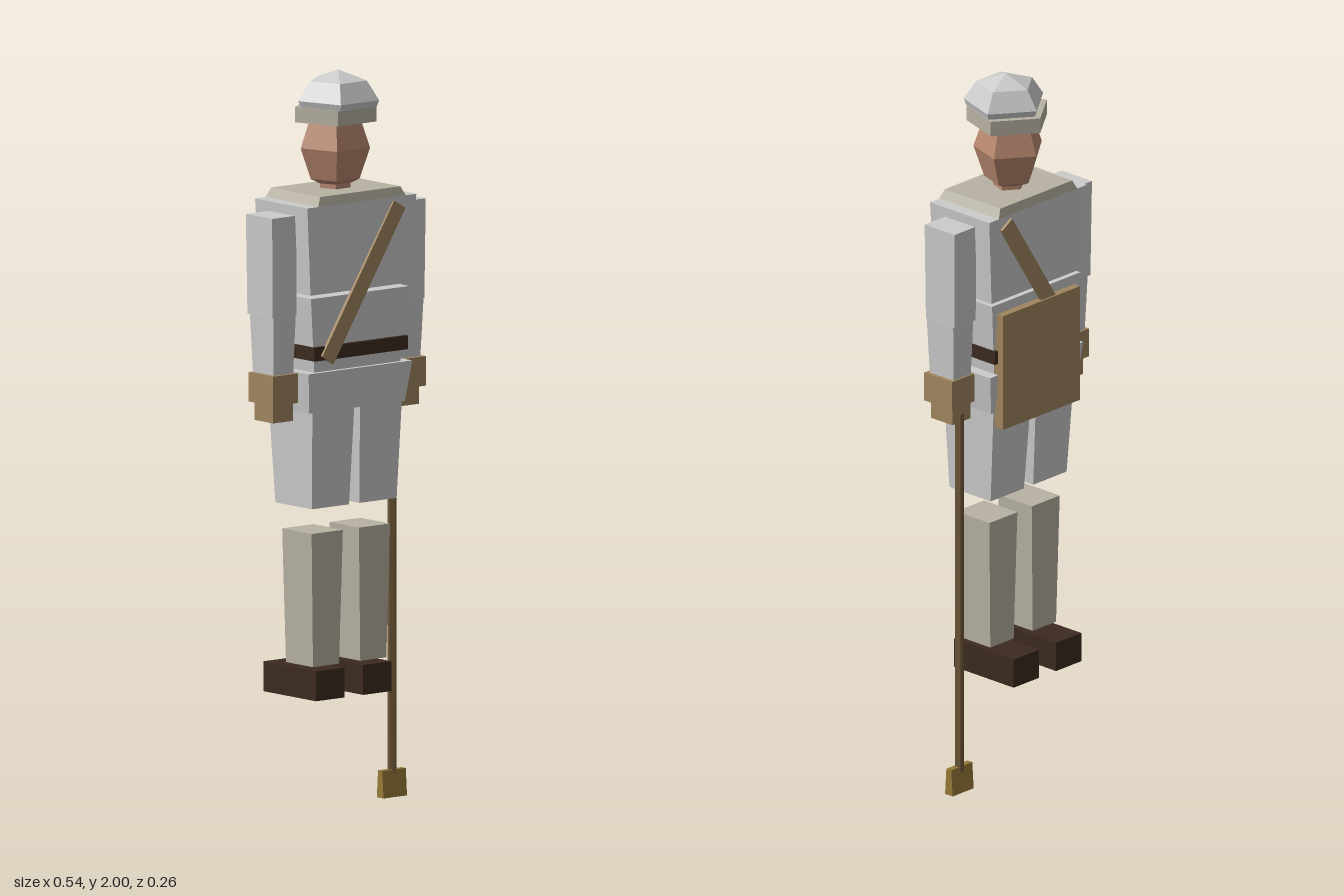
import * as THREE from 'three';

const mat = (color) => new THREE.MeshStandardMaterial({ color, flatShading: true });
const cloth = mat(0xcccccc), canvas = mat(0xb7b2a2), leather = mat(0xa1865f),
  dark = mat(0x3c2a20), skin = mat(0xb98870), wood = mat(0x70593a), brass = mat(0x977a36);

export function createModel() {
  const model = new THREE.Group();

  const add = (name, geometry, material) => {
    const mesh = new THREE.Mesh(geometry, material);
    mesh.name = name;
    model.add(mesh);
    return mesh;
  };

  // Box tapering between two rectangles [x0, x1, z0, z1] at heights y0 and y1
  const block = (name, material, y0, y1, bottom, top = bottom) => {
    const g = new THREE.BoxGeometry(1, 1, 1);
    const p = g.attributes.position;
    for (let i = 0; i < p.count; i++) {
      const isTop = p.getY(i) > 0;
      const r = isTop ? top : bottom;
      p.setXYZ(i, p.getX(i) < 0 ? r[0] : r[1], isTop ? y1 : y0, p.getZ(i) < 0 ? r[2] : r[3]);
    }
    g.computeVertexNormals();
    return add(name, g, material);
  };

  // Five-sided turned form with a flat face in front; profile is [radius, y] from bottom up
  const faceted = (name, material, z, profile) => {
    const points = profile.map(([r, y]) => new THREE.Vector2(r, y));
    const mesh = add(name, new THREE.LatheGeometry(points, 5, Math.PI), material);
    mesh.position.z = z;
    return mesh;
  };

  // Head and helmet
  faceted('neck', skin, 0.012, [[0, 1.66], [0.043, 1.66], [0.043, 1.72], [0, 1.72]]);
  faceted('head', skin, 0.01, [[0, 1.67], [0.069, 1.705], [0.098, 1.79], [0.069, 1.875], [0, 1.91]]);
  faceted('helmetBrim', canvas, 0.012, [[0, 1.862], [0.115, 1.862], [0.115, 1.904], [0, 1.904]]);
  faceted('helmetDome', cloth, 0.024, [[0, 1.903], [0.107, 1.903], [0.114, 1.921], [0.08, 1.973], [0, 2]]);

  // Torso
  block('collar', canvas, 1.655, 1.68, [-0.153, 0.153, -0.095, 0.125], [-0.14, 0.14, -0.088, 0.117]);
  block('chest', cloth, 1.416, 1.655, [-0.176, 0.176, -0.09, 0.12], [-0.19, 0.19, -0.095, 0.124]);
  block('waist', cloth, 1.2, 1.406, [-0.15, 0.15, -0.075, 0.105], [-0.172, 0.172, -0.088, 0.117]);
  block('belt', dark, 1.236, 1.273, [-0.163, 0.163, -0.09, 0.122]);
  block('tunicSkirt', cloth, 1.093, 1.203, [-0.167, 0.167, -0.08, 0.104], [-0.181, 0.181, -0.09, 0.118]);

  // Diagonal strap, front and back
  for (const [name, z] of [['frontStrap', 0.124], ['backStrap', -0.098]]) {
    const strap = add(name, new THREE.BoxGeometry(0.046, 0.47, 0.01), leather);
    strap.position.set(0.003, 1.435, z);
    strap.rotation.z = -Math.atan2(0.251, 0.398);
  }
  block('backSatchel', leather, 1.05, 1.378, [-0.15, 0.15, -0.108, -0.072]);

  // Arms and legs, mirrored
  for (const [side, s] of [['left', 1], ['right', -1]]) {
    const m = ([a, b, c, d]) => (s > 0 ? [a, b, c, d] : [-b, -a, c, d]);
    const part = (name, material, y0, y1, bottom, top = bottom) =>
      block(side + name, material, y0, y1, m(bottom), m(top));

    part('UpperArm', cloth, 1.357, 1.628, [0.182, 0.265, -0.037, 0.068], [0.182, 0.268, -0.04, 0.07]);
    part('Forearm', cloth, 1.2, 1.357, [0.188, 0.256, -0.025, 0.062], [0.184, 0.262, -0.03, 0.068]);
    part('GloveCuff', leather, 1.12, 1.2, [0.18, 0.267, -0.03, 0.073]);
    part('Glove', leather, 1.07, 1.12, [0.185, 0.255, -0.02, 0.058]);
    part('Thigh', cloth, 0.83, 1.093, [0.018, 0.148, -0.06, 0.092], [0.01, 0.156, -0.078, 0.104]);
    part('Gaiter', canvas, 0.397, 0.76, [0.037, 0.128, -0.04, 0.073], [0.028, 0.137, -0.045, 0.078]);
    part('Boot', dark, 0.307, 0.388, [0.033, 0.132, -0.13, 0.09]);
  }

  // Long-handled tool held in the left hand
  const rod = add('toolHandle', new THREE.CylinderGeometry(0.013, 0.013, 1.03, 5), wood);
  rod.position.set(0.217, 0.575, -0.01);
  block('toolHead', brass, 0, 0.074, [0.175, 0.257, -0.023, 0.005], [0.175, 0.257, -0.018, 0]);

  return model;
}
